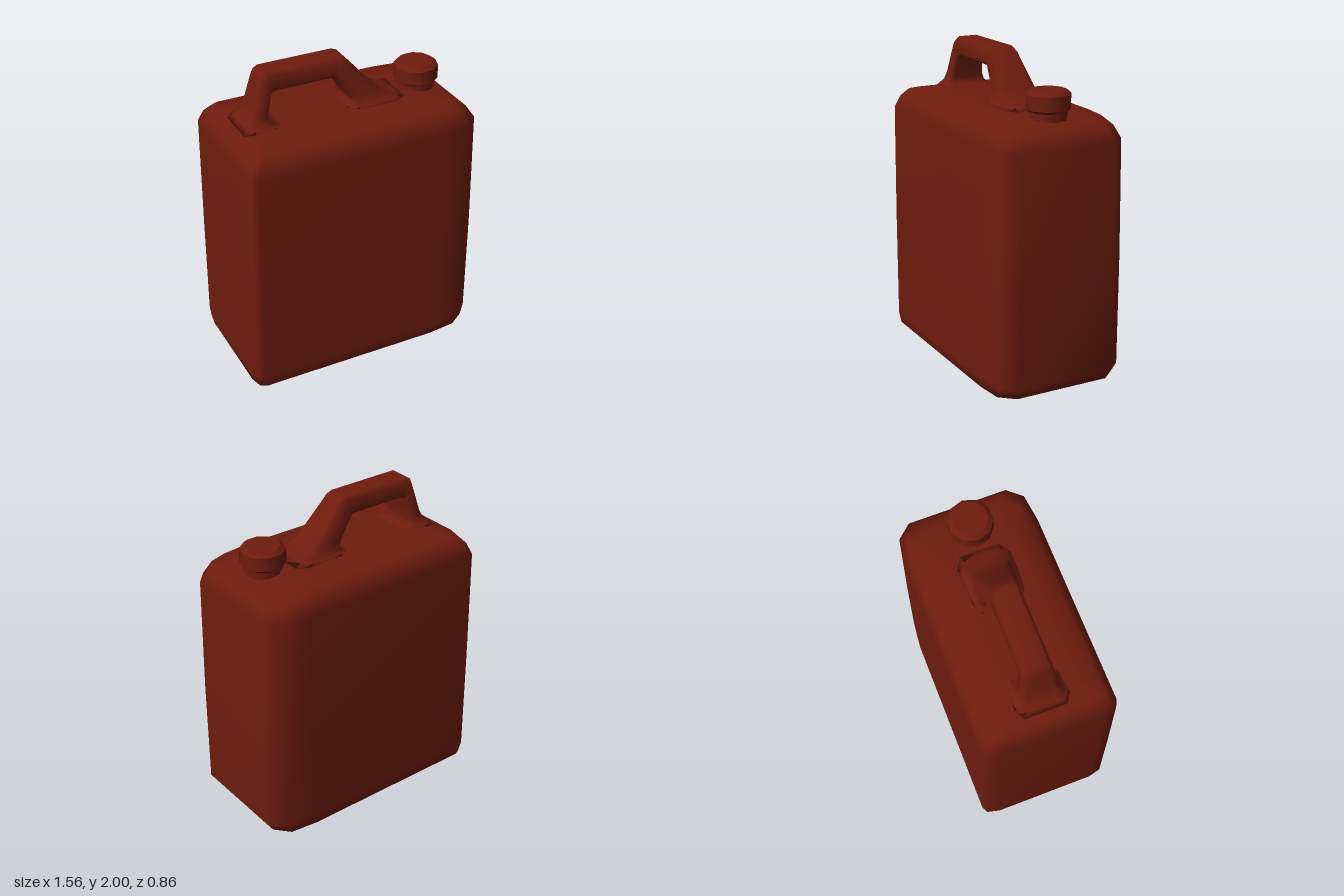
import * as THREE from 'three';
import { toCreasedNormals } from 'three/addons/utils/BufferGeometryUtils.js';

// Skins a list of equal-length rings of [x, y, z] points and closes both ends
function loft(rings) {
  const n = rings[0].length;
  const points = rings.flat();
  const index = [];
  for (let i = 0; i < rings.length - 1; i++) {
    for (let j = 0; j < n; j++) {
      const a = i * n + j, b = i * n + (j + 1) % n;
      index.push(a, b, b + n, a, b + n, a + n);
    }
  }
  for (const [ring, isEnd] of [[0, false], [rings.length - 1, true]]) {
    const centre = [0, 1, 2].map(k => rings[ring].reduce((s, p) => s + p[k], 0) / n);
    const c = points.push(centre) - 1;
    for (let j = 0; j < n; j++) {
      const a = ring * n + j, b = ring * n + (j + 1) % n;
      index.push(c, ...(isEnd ? [a, b] : [b, a]));
    }
  }
  const geometry = new THREE.BufferGeometry();
  geometry.setAttribute('position', new THREE.Float32BufferAttribute(points.flat(), 3));
  geometry.setIndex(index);
  geometry.computeVertexNormals();
  return geometry;
}

// Horizontal body section: tight corners at the right end, long soft corners at the spout end
function bodyRing([y, x0, x1, z, k]) {
  const half = [
    [x1, z - 0.11 * k], [x1 - 0.08 * k, z - 0.02 * k], [x1 - 0.26 * k, z],
    [x0 + 0.06 * k, z], [x0 + 0.02 * k, z - 0.02 * k], [x0, z - 0.1 * k],
  ];
  return [
    ...half.map(([x, d]) => [x, y, -d]),
    ...half.slice().reverse().map(([x, d]) => [x, y, d]),
  ];
}

// Handle section: chamfered quad between an outer and an inner point of the grip outline
function handleRing([ox, oy, ix, iy, outerW, innerW]) {
  const at = (t, w) => [ox + (ix - ox) * t, oy + (iy - oy) * t, w];
  const side = [
    at(0, outerW * 0.72), at(0.18, outerW),
    at(0.82, innerW), at(1, innerW * 0.78),
  ];
  return [
    ...side, ...side.slice().reverse().map(([x, y, w]) => [x, y, -w]),
  ];
}

export function createModel() {
  const group = new THREE.Group();
  const material = new THREE.MeshStandardMaterial({ color: 0x6e1c0e });
  const add = (name, geometry) => {
    const mesh = new THREE.Mesh(geometry, material);
    mesh.name = name;
    group.add(mesh);
    return mesh;
  };

  // Body: y, right end, left end, half depth, corner scale
  add('body', loft([
    [0.0, -0.66, 0.5, 0.31, 0.8],
    [0.012, -0.73, 0.62, 0.385, 0.9],
    [0.03, -0.768, 0.73, 0.42, 1],
    [0.1, -0.782, 0.778, 0.43, 1],
    [0.8, -0.78, 0.78, 0.43, 1],
    [1.53, -0.776, 0.772, 0.425, 1],
    [1.605, -0.747, 0.725, 0.398, 1],
    [1.655, -0.705, 0.655, 0.352, 0.95],
    [1.674, -0.62, 0.46, 0.24, 0.8],
    [1.68, -0.56, 0.36, 0.15, 0.5],
  ].map(bodyRing)));

  // Handle: outer x, y, inner x, y, outer half width, inner half width
  add('handle', loft([
    [-0.68, 1.655, -0.4, 1.655, 0.19, 0.19],
    [-0.645, 1.688, -0.44, 1.682, 0.155, 0.15],
    [-0.61, 1.72, -0.49, 1.695, 0.128, 0.128],
    [-0.585, 1.77, -0.5, 1.735, 0.114, 0.114],
    [-0.54, 1.94, -0.475, 1.855, 0.092, 0.1],
    [-0.525, 1.98, -0.465, 1.873, 0.088, 0.096],
    [-0.495, 2.0, -0.44, 1.88, 0.085, 0.092],
    [-0.02, 2.0, -0.085, 1.88, 0.085, 0.092],
    [0.015, 1.985, -0.06, 1.87, 0.088, 0.096],
    [0.06, 1.935, -0.04, 1.845, 0.094, 0.102],
    [0.2, 1.775, 0.03, 1.74, 0.118, 0.118],
    [0.26, 1.725, 0.045, 1.7, 0.13, 0.13],
    [0.34, 1.696, 0.01, 1.684, 0.155, 0.15],
    [0.45, 1.655, -0.04, 1.655, 0.19, 0.19],
  ].map(handleRing)));

  // Neck and screw cap: ten-sided turned profiles
  const turned = (name, profile) => {
    const points = profile.map(([r, y]) => new THREE.Vector2(r, y));
    const geometry = toCreasedNormals(new THREE.LatheGeometry(points, 10, Math.PI / 2), 0.7);
    add(name, geometry).position.set(0.53, 0, 0);
  };
  turned('neck', [[0.115, 1.6], [0.115, 1.74]]);
  turned('cap', [
    [0, 1.7], [0.108, 1.7], [0.137, 1.722], [0.137, 1.808], [0.108, 1.832], [0, 1.832],
  ]);

  return group;
}
